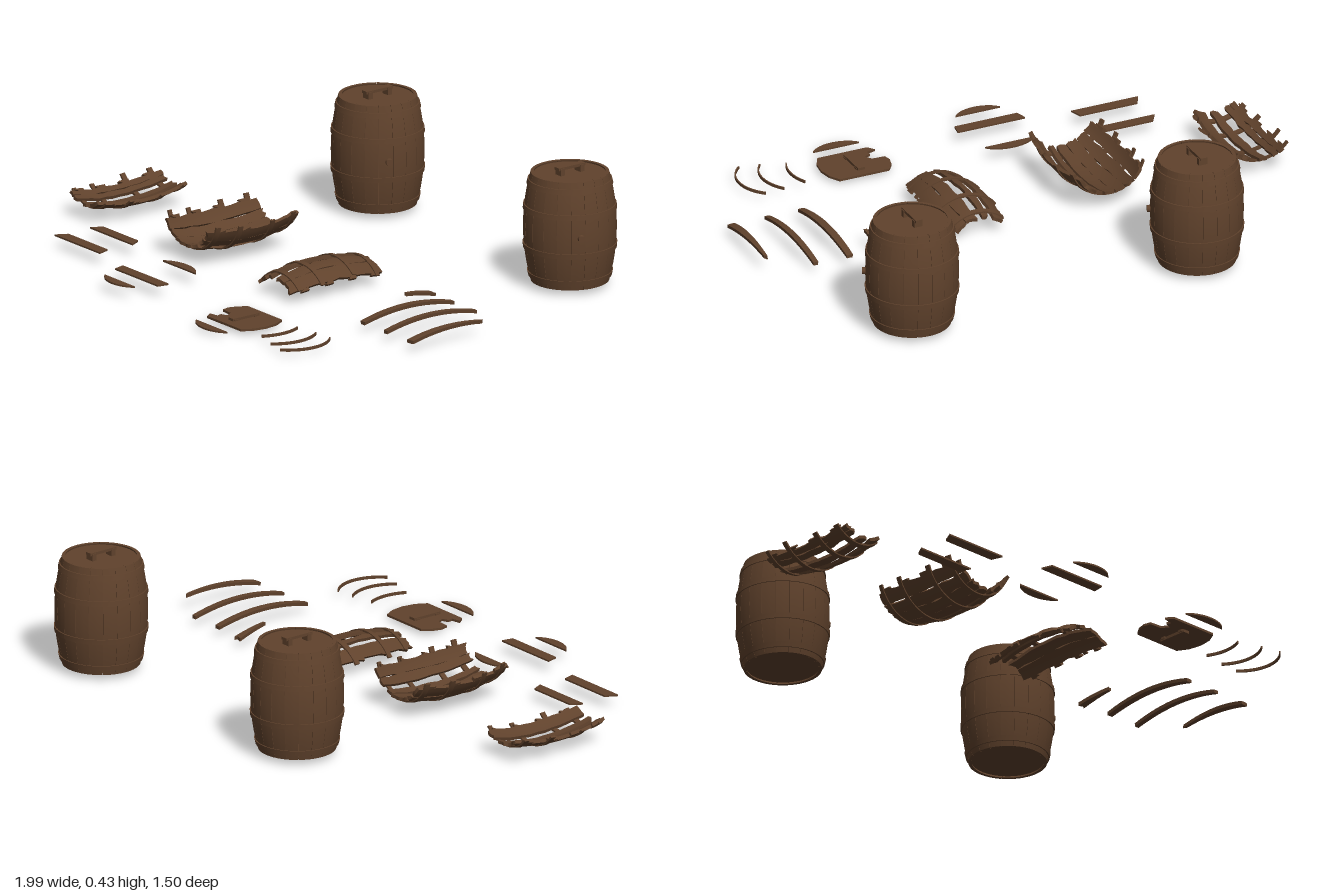
import * as THREE from 'three';

const wood = new THREE.MeshStandardMaterial({ color: 0x60422c, name: 'dark brown wood' });
const HALF = 0.195;                       // half of the barrel height
const HOOPS = [-0.168, -0.066, 0.074, 0.163];
const rad = THREE.MathUtils.degToRad;
const radius = t => 0.162 - 0.026 * (t / HALF) ** 2;

// Small seeded noise in -1..1
let seed = 7;
const noise = () => {
  seed = (seed * 16807) % 2147483647;
  return (seed / 2147483647) * 2 - 1;
};

function add(parent, geometry, name, x = 0, y = 0, z = 0) {
  const mesh = new THREE.Mesh(geometry, wood);
  mesh.name = name;
  mesh.position.set(x, y, z);
  parent.add(mesh);
  return mesh;
}

function group(parent, name, x, y, z) {
  const g = new THREE.Group();
  g.name = name;
  g.position.set(x, y, z);
  parent.add(g);
  return g;
}

// Box bent around the z axis and bulged like a barrel; angles in degrees from +y towards +x
function curved(a0, a1, t0, t1, { out = 0, thick = 0.012, ragEnd = 0, ragSide = 0, taper = 0 } = {}) {
  const na = Math.max(2, Math.ceil((a1 - a0) / 6));
  const nt = Math.max(1, Math.ceil((t1 - t0) / 0.035));
  const geo = new THREE.BoxGeometry(1, 1, 1, na, 1, nt);
  const ends = [0, 1].map(() => Array.from({ length: na + 1 }, () => noise() * ragEnd));
  const sides = [0, 1].map(() => Array.from({ length: nt + 1 }, () => noise() * ragSide));
  const p = geo.attributes.position;
  for (let i = 0; i < p.count; i++) {
    const u = p.getX(i) + 0.5, v = p.getY(i) + 0.5, w = p.getZ(i) + 0.5;
    const col = Math.round(u * na), row = Math.round(w * nt);
    let a = a0 + (a1 - a0) * u + sides[0][row] * (1 - u) + sides[1][row] * u;
    // taper > 0 narrows the far end, taper < 0 narrows the near end
    const narrow = taper > 0 ? w * taper : (1 - w) * -taper;
    a += (a1 - a) * narrow;
    const t = t0 + (t1 - t0) * w + ends[0][col] * (1 - w) + ends[1][col] * w;
    const r = radius(t) + out - thick * (1 - v);
    p.setXYZ(i, r * Math.sin(rad(a)), r * Math.cos(rad(a)), t);
  }
  geo.computeVertexNormals();
  return geo;
}

const hoop = (a0, a1, t) => curved(a0, a1, t - 0.009, t + 0.009, { out: 0.004, thick: 0.007 });

// Flat board cut from an outline in x and z
function board(parent, name, shape, y, depth = 0.006) {
  const geo = new THREE.ExtrudeGeometry(shape, { depth, bevelEnabled: false, curveSegments: 12 });
  geo.rotateX(Math.PI / 2);
  return add(parent, geo, name, 0, y, 0);
}

const polygon = pts => new THREE.Shape(pts.map(([x, z]) => new THREE.Vector2(x, z)));

// Round edge piece of a lid: chord at zFlat, crown at zRound
function lidSegment(x0, x1, zFlat, zRound) {
  const s = new THREE.Shape();
  const mid = (x0 + x1) / 2, h = zRound - zFlat;
  s.moveTo(x0, zFlat);
  s.bezierCurveTo(x0 + 0.04, zFlat + h * 1.33, x1 - 0.04, zFlat + h * 1.33, x1, zFlat);
  s.lineTo(mid, zFlat);
  return s;
}

// Grip bar on two posts
function handle(parent, x, y, z, up = 1, height = 0.03) {
  const g = group(parent, 'handle', x, y, z);
  add(g, new THREE.BoxGeometry(0.026, 0.01, 0.115), 'gripBar', 0, up * (height - 0.005), 0);
  for (const s of [-1, 1]) {
    add(g, new THREE.BoxGeometry(0.032, height - 0.004, 0.018), 'handlePost', 0, up * (height - 0.004) / 2, s * 0.042);
  }
}

function barrel(root, x) {
  const g = group(root, 'barrel', x, 0.215, -0.59);
  const body = group(g, 'barrelBody', 0, 0, 0);
  body.rotation.x = -Math.PI / 2;
  // Staves and hoops
  const n = 20, step = 360 / n;
  for (let i = 0; i < n; i++) {
    add(body, curved(i * step + 0.2, (i + 1) * step - 0.2, -HALF, HALF), 'stave');
  }
  for (const t of HOOPS) add(body, hoop(0, 360, t), 'hoop');
  // Top and bottom
  for (const s of [-1, 1]) {
    add(g, new THREE.CylinderGeometry(0.132, 0.132, 0.012, 40), s > 0 ? 'lid' : 'base', 0, s * (HALF - 0.012), 0);
  }
  handle(g, 0, HALF - 0.007, 0);
  // Bung on the side
  const plug = group(g, 'bung', 0, 0, 0);
  plug.rotation.y = -Math.atan2(0.065, 0.15);
  const geo = new THREE.CylinderGeometry(0.012, 0.014, 0.022, 12);
  geo.rotateZ(-Math.PI / 2);
  add(plug, geo, 'bungPlug', 0.162, 0, 0);
}

// Broken shell of staves held by hoops; a bowl lies on its back, otherwise it arches
function shell(root, x, bowl, staves, [h0, h1]) {
  const g = group(root, 'brokenShell', x, bowl ? 0.189 : -0.06, 0.112);
  const span = (a, b) => (bowl ? [180 - b, 180 - a] : [a, b]);
  for (const [a, b] of staves) {
    add(g, curved(...span(a, b), -HALF, HALF, { ragEnd: 0.006, ragSide: 1.3 }), 'stave');
  }
  for (const t of HOOPS) {
    add(g, hoop(...span(h0 + noise() * 4, h1 + noise() * 4), t), 'brokenHoop');
  }
  // Splinters along both broken edges
  for (let i = 0; i < 4; i++) {
    const t = -0.17 + i * 0.1, first = staves[0][0], last = staves[staves.length - 1][1];
    add(g, curved(...span(first - 4, first + 3), t, t + 0.04, { taper: bowl ? 0.7 : -0.7 }), 'splinter');
    add(g, curved(...span(last - 3, last + 4), t, t + 0.03, { taper: 0.7 }), 'splinter');
  }
}

export function createModel() {
  const root = new THREE.Group();
  root.name = 'barrelsAndWreckage';

  barrel(root, -0.375);
  barrel(root, 0.715);

  // Broken shells
  shell(root, -0.87, true, [[-37, -28], [-27.5, -18], [-7, 5], [16, 35]], [-48, 44]);
  shell(root, -0.29, true, [[-61, -43], [-42, -25], [-24.5, -7], [-6.5, 11], [15, 25], [36, 49], [50, 66]], [-73, 75]);
  shell(root, 0.215, false, [[-43, -24], [-15, -6], [5, 22], [22.5, 43]], [-49, 45]);

  // Loose staves: x, half angle, start, end, taper
  for (const [x, a, t0, t1, taper] of [
    [0.583, 6.5, -0.205, -0.08, 0.7], [0.71, 5, -HALF, HALF, 0],
    [0.84, 4, -HALF, HALF, 0], [0.978, 6.5, -0.11, HALF, -0.7],
  ]) {
    add(root, curved(-a, a, t0, t1, { taper, ragEnd: taper ? 0.005 : 0 }), 'looseStave', x, -0.097, 0.112);
  }

  // Lid planks
  board(root, 'lidPlank', polygon([[-0.67, 0.375], [-0.475, 0.375], [-0.455, 0.415], [-0.695, 0.415]]), 0.044);
  board(root, 'lidPlank', polygon([[-0.68, 0.52], [-0.46, 0.52], [-0.447, 0.563], [-0.703, 0.563]]), 0.044);
  board(root, 'lidPlank', polygon([[-0.283, 0.588], [-0.025, 0.588], [-0.032, 0.63], [-0.272, 0.63]]), 0.044);
  board(root, 'lidEdge', lidSegment(-0.245, -0.06, 0.443, 0.406), 0.044);
  board(root, 'lidEdge', lidSegment(-0.24, -0.07, 0.7, 0.736), 0.044);
  board(root, 'lidEdge', lidSegment(0.293, 0.47, 0.712, 0.748), 0.019);

  // Broken lid with a handle on both faces
  board(root, 'brokenLid', polygon([
    [0.288, 0.48], [0.478, 0.48], [0.5, 0.52], [0.508, 0.57], [0.5, 0.62], [0.478, 0.66], [0.288, 0.66],
    [0.27, 0.635], [0.305, 0.628], [0.3, 0.61], [0.325, 0.6], [0.31, 0.575], [0.262, 0.572], [0.256, 0.545], [0.266, 0.51],
  ]), 0.02, 0.008);
  handle(root, 0.38, 0.02, 0.57, 1, 0.009);
  handle(root, 0.38, 0.012, 0.57, -1, 0.012);

  // Loose hoop pieces: rightmost x, centre z, half length, sag
  for (const [x, z, half, sag] of [[0.619, 0.583, 0.078, 0.019], [0.723, 0.59, 0.1, 0.036], [0.81, 0.595, 0.11, 0.05]]) {
    const r = (half * half + sag * sag) / (2 * sag), a = Math.asin(half / r), t = 0.005;
    const s = new THREE.Shape();
    s.absarc(x - r, z, r, -a, a, false);
    s.absarc(x - r, z, r - t, a, -a, true);
    board(root, 'hoopPiece', s, 0.03, 0.01);
  }
  return root;
}
